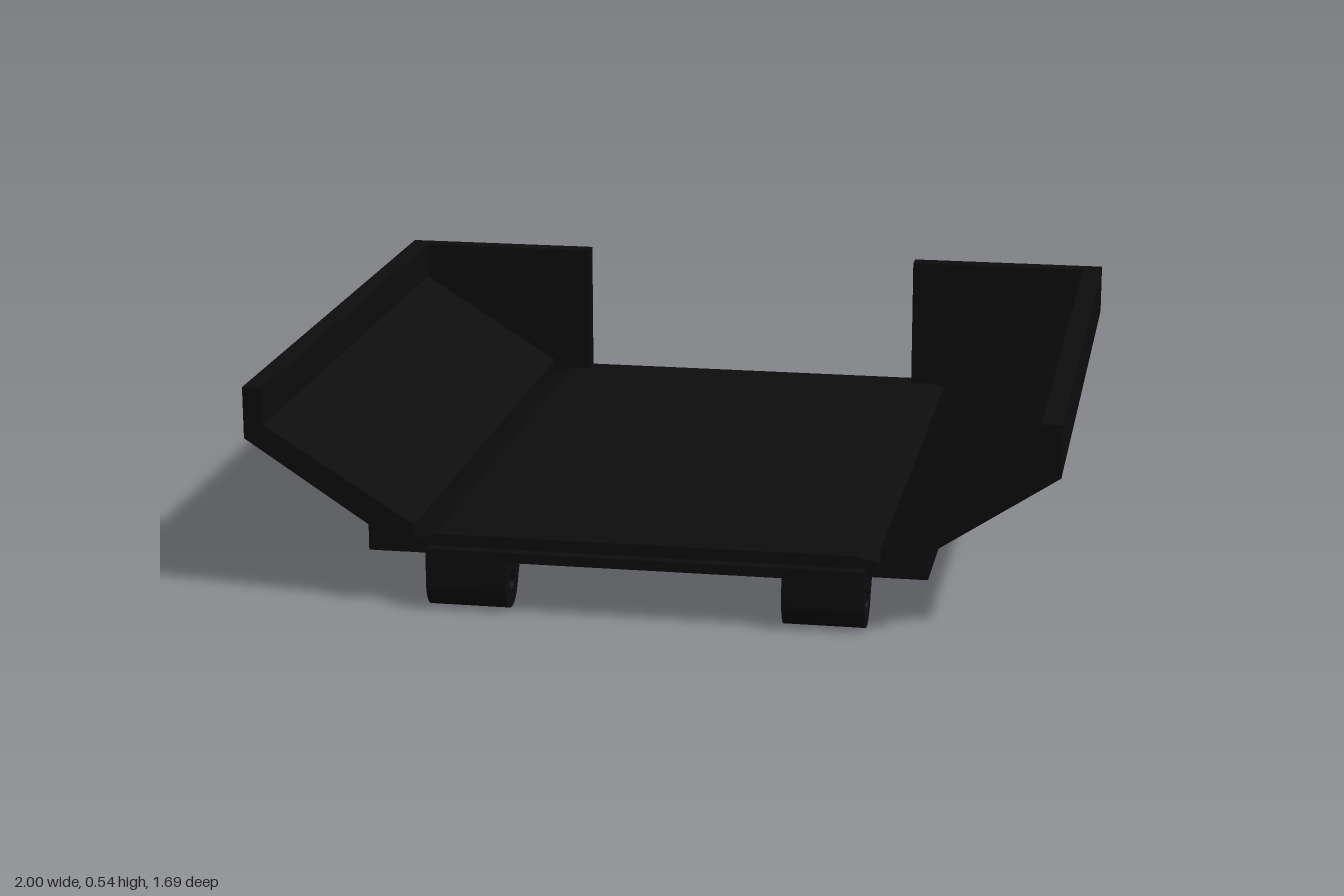
import * as THREE from 'three';

const black = new THREE.MeshStandardMaterial({ color: 0x0d0d0d });
black.name = 'matte black';

const Z_BACK = -0.845, Z_FRONT = 0.815;

function shapeFrom(points) {
  return new THREE.Shape(points.map(([x, y]) => new THREE.Vector2(x, y)));
}

function addMesh(parent, name, geometry) {
  const mesh = new THREE.Mesh(geometry, black);
  mesh.name = name;
  parent.add(mesh);
  return mesh;
}

// Extrude a front-facing (x, y) outline between two z positions
function slab(points, z0, z1) {
  const geometry = new THREE.ExtrudeGeometry(shapeFrom(points), { depth: z1 - z0, bevelEnabled: false });
  return geometry.translate(0, 0, z0);
}

// Hinge lug: side outline drawn as (z, y), then turned so it extrudes along x
function lugGeometry(width) {
  const cz = 0.778, cy = 0.068, r = 0.067, tangent = 0.55;
  const s = new THREE.Shape();
  s.moveTo(cz + r, 0.16);
  s.lineTo(0.66, 0.16);
  s.lineTo(0.66, 0.14);
  s.lineTo(cz - r * Math.cos(tangent), cy - r * Math.sin(tangent));
  s.absarc(cz, cy, r, Math.PI + tangent, Math.PI * 2, false);
  s.closePath();
  const hole = new THREE.Path();
  hole.absarc(cz, cy, 0.027, 0, Math.PI * 2, true);
  s.holes.push(hole);
  const geometry = new THREE.ExtrudeGeometry(s, { depth: width, bevelEnabled: false, curveSegments: 16 });
  return geometry.rotateY(-Math.PI / 2).translate(width / 2, 0, 0);
}

export function createModel() {
  const model = new THREE.Group();
  model.name = 'tray';

  // Floor with flared side walls, one continuous cross-section
  const half = [
    [0.69, 0.14], [0.69, 0.205], [1, 0.41], [1, 0.54], [0.95, 0.54],
    [0.95, 0.445], [0.575, 0.21], [0.575, 0.175], [0.52, 0.19],
  ];
  const mirrored = half.map(([x, y]) => [-x, y]).reverse();
  addMesh(model, 'floorAndSideWalls', slab([...half, ...mirrored], Z_BACK, Z_FRONT));

  // Rear end plates, leaving a wide gap in the middle
  const plate = [[0.47, 0.14], [0.69, 0.14], [0.69, 0.205], [1, 0.41], [1, 0.54], [0.47, 0.54]];
  for (const side of [1, -1]) {
    const outline = plate.map(([x, y]) => [side * x, y]);
    addMesh(model, side > 0 ? 'leftEndPlate' : 'rightEndPlate', slab(outline, Z_BACK, Z_BACK + 0.05));
  }

  // Hinge mounting strip under the front edge
  const strip = addMesh(model, 'hingeStrip', new THREE.BoxGeometry(1.08, 0.025, 0.225));
  strip.position.set(0, 0.1475, 0.7325);

  // Pair of hinge lugs
  for (const side of [1, -1]) {
    const lug = addMesh(model, side > 0 ? 'leftHingeLug' : 'rightHingeLug', lugGeometry(0.2));
    lug.position.x = side * 0.44;
  }

  return model;
}
